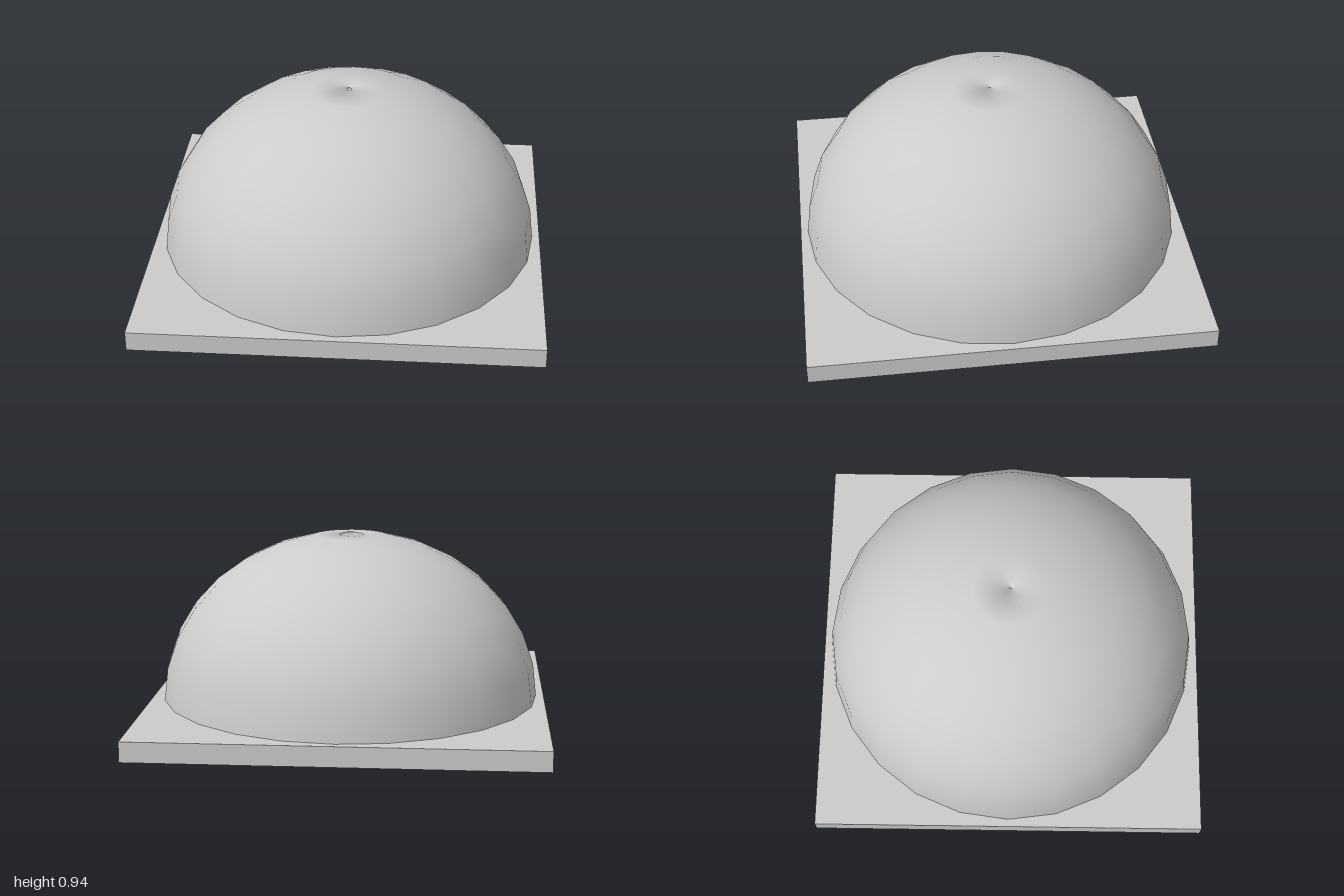
import * as THREE from 'three';

const PLATE = 0.1;    // plate thickness
const HOLE = 0.87;    // radius of the opening
const SIDES = 24;

export function createModel() {
  const model = new THREE.Group();
  const material = new THREE.MeshStandardMaterial({ color: 0xcccccc, side: THREE.DoubleSide });
  const add = (geometry, name) => {
    const mesh = new THREE.Mesh(geometry, material);
    mesh.name = name;
    model.add(mesh);
  };

  // square plate with a round opening, a hair wider than the dome's lining
  const square = new THREE.Shape([
    new THREE.Vector2(-1, -1), new THREE.Vector2(1, -1),
    new THREE.Vector2(1, 1), new THREE.Vector2(-1, 1),
  ]);
  square.holes.push(new THREE.Path().absarc(0, 0, HOLE + 0.002, 0, Math.PI * 2, true));
  const plate = new THREE.ExtrudeGeometry(square, { depth: PLATE, bevelEnabled: false, curveSegments: SIDES });
  plate.rotateX(-Math.PI / 2);
  add(plate, 'basePlate');

  // thick shell: finely stepped outside, narrow vent, coarser inside running down through the opening
  const vent = 0.006;
  const arc = (a, b, rings) => Array.from({ length: rings + 1 }, (_, i) => {
    const t = (i / rings) * Math.PI / 2;
    return new THREE.Vector2(Math.max(a * Math.cos(t), vent), PLATE + b * Math.sin(t));
  });
  const outer = arc(0.962, 0.84, 8);
  const inner = arc(HOLE, 0.69, 4).reverse();
  const profile = [...outer, ...inner, new THREE.Vector2(HOLE, 0)];
  add(new THREE.LatheGeometry(profile, SIDES), 'dome');

  return model;
}
